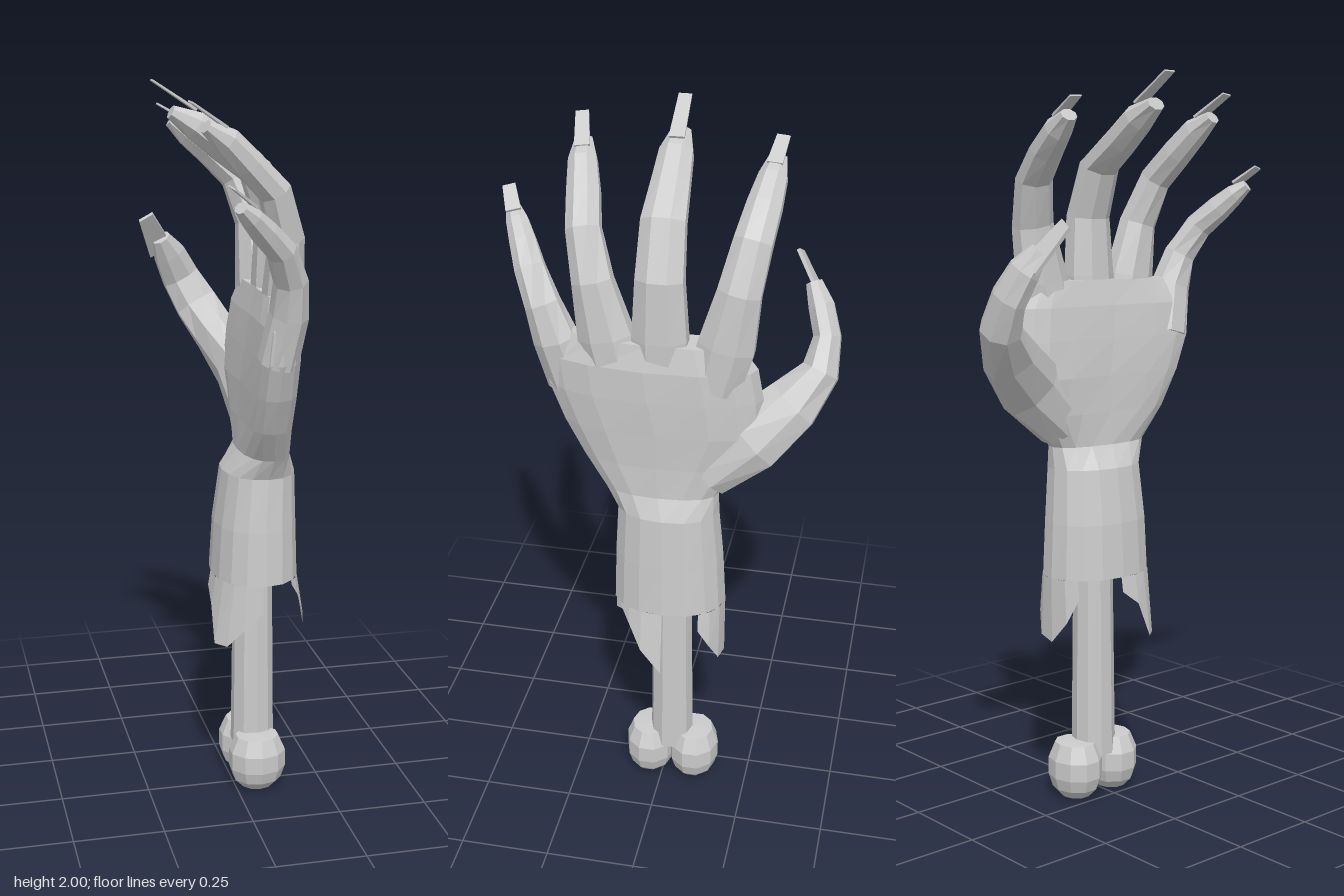
import * as THREE from 'three';

const V = (x, y, z) => new THREE.Vector3(x, y, z);
const skinMat = new THREE.MeshStandardMaterial({ color: 0xcccccc, flatShading: true });
const openMat = new THREE.MeshStandardMaterial({ color: 0xcccccc, flatShading: true, side: THREE.DoubleSide });

// Skin a list of equal-sized rings, optionally capping the ends
function loft(name, rings, mat, capStart = true, capEnd = true) {
  const n = rings[0].length, pos = [];
  const tri = (...p) => p.forEach(v => pos.push(v.x, v.y, v.z));
  for (let r = 0; r < rings.length - 1; r++) {
    const a = rings[r], b = rings[r + 1];
    for (let i = 0; i < n; i++) {
      const j = (i + 1) % n;
      tri(a[i], a[j], b[j]);
      tri(a[i], b[j], b[i]);
    }
  }
  const first = rings[0], last = rings[rings.length - 1];
  for (let i = 1; i < n - 1; i++) {
    if (capStart) tri(first[0], first[i + 1], first[i]);
    if (capEnd) tri(last[0], last[i], last[i + 1]);
  }
  return finish(name, pos, mat);
}

function finish(name, pos, mat) {
  const g = new THREE.BufferGeometry();
  g.setAttribute('position', new THREE.Float32BufferAttribute(pos, 3));
  g.computeVertexNormals();
  const mesh = new THREE.Mesh(g, mat);
  mesh.name = name;
  return mesh;
}

// Tapered limb along stations [x, y, z, half width, half thickness]
function limb(name, stations, sides = 8, mat = skinMat) {
  const p = stations.map(s => V(s[0], s[1], s[2]));
  const rings = stations.map((s, k) => {
    const T = p[Math.min(k + 1, p.length - 1)].clone().sub(p[Math.max(k - 1, 0)]).normalize();
    const S = V(0, 0, 1).addScaledVector(T, -T.z).normalize();
    const U = T.clone().cross(S);
    return Array.from({ length: sides }, (_, i) => {
      const a = (i + 0.5) / sides * Math.PI * 2;
      return p[k].clone().addScaledVector(S, Math.cos(a) * s[3] * 1.06).addScaledVector(U, Math.sin(a) * s[4] * 1.06);
    });
  });
  return loft(name, rings, mat);
}

export function createModel() {
  const hand = new THREE.Group();
  hand.name = 'severedHand';

  // Forearm, wrist and palm: [y, centre x, half depth, z min, z max, roundness]
  const sections = [
    [0.65, 0.06, 0.12, -0.176, 0.14, 0.9], [0.8, 0.062, 0.113, -0.168, 0.135, 0.9],
    [0.95, 0.07, 0.1, -0.155, 0.125, 0.9], [1.01, 0.078, 0.068, -0.155, 0.157, 0.85],
    [1.1, 0.08, 0.066, -0.21, 0.22, 0.75], [1.2, 0.085, 0.067, -0.27, 0.275, 0.7],
    [1.3, 0.092, 0.065, -0.265, 0.315, 0.7], [1.39, 0.098, 0.06, -0.25, 0.325, 0.7],
    [1.46, 0.1, 0.045, -0.2, 0.24, 0.7],
  ];
  const pw = (v, e) => Math.sign(v) * Math.abs(v) ** e;
  hand.add(loft('palmAndForearm', sections.map(([y, cx, rx, z0, z1, e]) =>
    Array.from({ length: 16 }, (_, i) => {
      const a = i / 16 * Math.PI * 2;
      const z = (z0 + z1) / 2 - pw(Math.sin(a), e) * (z1 - z0) / 2;
      const curl = y > 1.05 ? 0.35 * z * z : 0;
      return V(cx + pw(Math.cos(a), e) * rx - curl, y, z);
    })), openMat, false, true));

  // Torn hem: strips of [angle in degrees, lower edge y]
  const shreds = [
    [[0, 0.47], [20, 0.53], [36, 0.6], [50, 0.64]],
    [[92, 0.57], [112, 0.52], [130, 0.47], [148, 0.47], [165, 0.57], [182, 0.61]],
    [[232, 0.6], [250, 0.53], [270, 0.47], [290, 0.48], [308, 0.54], [324, 0.6]],
  ];
  const hem = (deg, y) => {
    const a = deg * Math.PI / 180, flare = 1 + 1.4 * (0.65 - y);
    return V(0.06 + 0.12 * flare * pw(Math.cos(a), 0.9), y, -0.018 + 0.158 * pw(Math.sin(a), 0.9));
  };
  shreds.forEach(strip => {
    const pos = [];
    for (let i = 0; i < strip.length - 1; i++) {
      const [[a, ya], [b, yb]] = [strip[i], strip[i + 1]];
      const [p, q, r, s] = [hem(a, 0.65), hem(b, 0.65), hem(b, yb), hem(a, ya)];
      [p, q, r, p, r, s].forEach(v => pos.push(v.x, v.y, v.z));
    }
    hand.add(finish('tornSkin', pos, openMat));
  });

  // Fingers and thumb, each with a flat nail
  const digits = {
    middleFinger: [[0.1, 1.36, 0, 0.07, 0.05], [0.105, 1.47, 0, 0.073, 0.05], [0.108, 1.63, 0, 0.063, 0.046],
      [0.06, 1.765, 0, 0.058, 0.043], [-0.03, 1.83, 0, 0.05, 0.04], [-0.1, 1.885, 0, 0.044, 0.038], [-0.165, 1.92, 0, 0.026, 0.018]],
    ringFinger: [[0.095, 1.34, 0.12, 0.07, 0.05], [0.1, 1.46, 0.143, 0.073, 0.05], [0.1, 1.61, 0.175, 0.053, 0.044],
      [0.06, 1.73, 0.205, 0.045, 0.042], [-0.01, 1.8, 0.22, 0.043, 0.039], [-0.07, 1.86, 0.235, 0.037, 0.035], [-0.125, 1.895, 0.245, 0.023, 0.017]],
    indexFinger: [[0.095, 1.34, -0.14, 0.07, 0.05], [0.1, 1.46, -0.17, 0.075, 0.05], [0.1, 1.61, -0.2, 0.057, 0.045],
      [0.06, 1.73, -0.225, 0.05, 0.042], [-0.01, 1.8, -0.24, 0.045, 0.039], [-0.07, 1.85, -0.25, 0.037, 0.035], [-0.12, 1.885, -0.255, 0.023, 0.017]],
    littleFinger: [[0.06, 1.3, 0.25, 0.06, 0.05], [0.08, 1.43, 0.283, 0.058, 0.048], [0.075, 1.52, 0.315, 0.046, 0.042],
      [0.04, 1.6, 0.355, 0.04, 0.037], [-0.01, 1.65, 0.385, 0.035, 0.034], [-0.05, 1.69, 0.41, 0.029, 0.027], [-0.08, 1.715, 0.428, 0.019, 0.015]],
    thumb: [[0.08, 1.07, -0.12, 0.07, 0.055], [0.068, 1.18, -0.235, 0.09, 0.062], [0.025, 1.27, -0.335, 0.075, 0.062],
      [-0.02, 1.35, -0.4, 0.05, 0.062], [-0.065, 1.43, -0.408, 0.036, 0.054], [-0.1, 1.5, -0.385, 0.034, 0.046], [-0.13, 1.55, -0.36, 0.022, 0.026]],
  };
  // Nail stations: root and tip
  const nails = {
    middleFinger: [[-0.1, 1.925, 0], [-0.215, 2.0, 0]],
    ringFinger: [[-0.075, 1.895, 0.238], [-0.165, 1.955, 0.258]],
    indexFinger: [[-0.075, 1.885, -0.252], [-0.155, 1.93, -0.262]],
    littleFinger: [[-0.045, 1.72, 0.418], [-0.105, 1.765, 0.445]],
    thumb: [[-0.125, 1.51, -0.385], [-0.18, 1.615, -0.315]],
  };
  for (const name in digits) {
    hand.add(limb(name, digits[name]));
    const [root, tip] = nails[name];
    if (name === 'thumb') { // thumbnail is broad across x
      const across = V(0.034, 0.02, 0.008);
      const ring = (c, w) => [[1, 1], [-1, 1], [-1, -1], [1, -1]].map(([s, t]) =>
        V(...c).addScaledVector(across, s * w).add(V(0, t * 0.003, -t * 0.004)));
      hand.add(loft('thumbNail', [ring(root, 0.9), ring(tip, 0.55)], openMat));
    } else {
      hand.add(limb(name + 'Nail', [[...root, 0.027, 0.005], [...tip, 0.023, 0.003]], 4, openMat));
    }
  }

  // Bone shaft with a two-lobed knuckle end
  const shaft = new THREE.Mesh(new THREE.CylinderGeometry(0.053, 0.062, 0.75, 10), skinMat);
  shaft.position.set(0.062, 0.5, -0.025);
  shaft.name = 'boneShaft';
  hand.add(shaft);
  const profile = [[0, 0.005], [0.045, 0.01], [0.07, 0.035], [0.082, 0.07], [0.082, 0.12], [0.062, 0.165], [0, 0.168]]
    .map(([r, y]) => new THREE.Vector2(r, y));
  for (const [z, turn] of [[0.038, 0], [-0.092, Math.PI]]) {
    const lobe = new THREE.Mesh(new THREE.LatheGeometry(profile, 10), skinMat);
    lobe.scale.z = 0.88;
    lobe.rotation.y = turn;
    lobe.position.set(0.062, 0, z);
    lobe.name = 'boneKnob';
    hand.add(lobe);
  }
  return hand;
}
